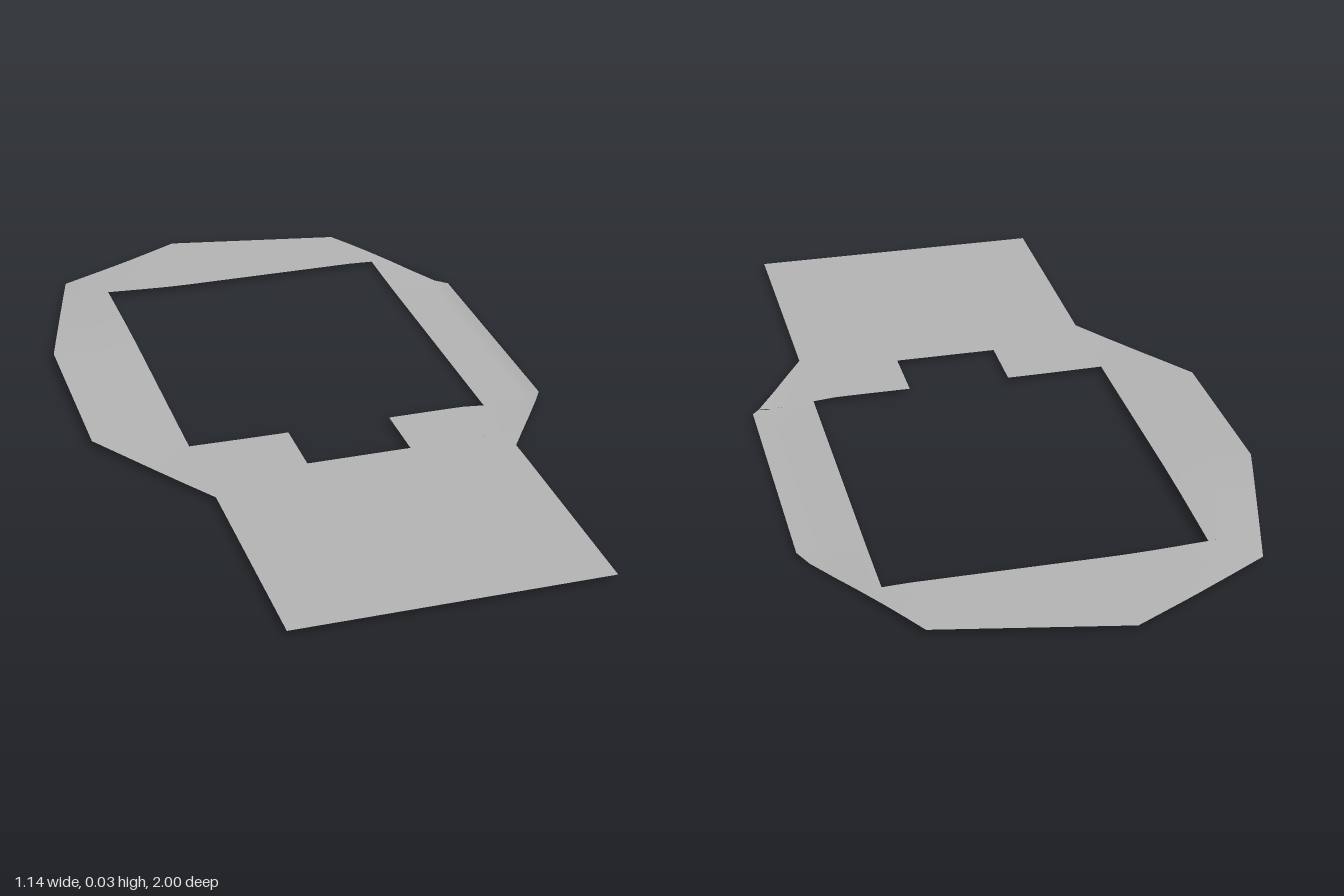
import * as THREE from 'three';

// Outer edges as [z, x] from back to front
const LEFT_EDGE = [[-1, -0.1], [-0.81, -0.45], [-0.38, -0.57], [0.08, -0.57], [0.42, -0.35], [1, -0.35]];
const RIGHT_EDGE = [[-1, -0.1], [-0.91, 0.35], [-0.53, 0.57], [0.14, 0.57], [0.39, 0.41], [1, 0.41]];

// Piecewise linear lookup
function sample(points, t) {
  if (t <= points[0][0]) return points[0][1];
  for (let i = 1; i < points.length; i++) {
    const [a, va] = points[i - 1], [b, vb] = points[i];
    if (t <= b) return va + (vb - va) * (t - a) / (b - a);
  }
  return points[points.length - 1][1];
}

// Gentle relief: the -x side rises, the +x side dips into a shallow ditch
const RISE = [[-0.95, 0], [-0.7, 0.7], [-0.5, 1], [-0.38, 1], [0.08, 0.25], [0.3, 0]];
const DIP = [[-0.85, 0], [-0.55, 1], [0.14, 1], [0.45, 0]];
const DITCH = [[0.35, 0], [0.49, 0.013], [0.54, 0.016], [0.57, 0.006]];
function height(x, z) {
  const up = 0.016 * THREE.MathUtils.smoothstep(-x, 0.12, 0.46) * sample(RISE, z);
  return 0.018 + up - sample(DITCH, x) * sample(DIP, z);
}

const left = z => sample(LEFT_EDGE, z);
const right = z => sample(RIGHT_EDGE, z);

// Sheet between z0 and z1, from x = a(z) to x = b(z)
function sheet(name, material, z0, z1, a, b, columns = 12) {
  const rows = [z0, z1];
  for (const [z] of [...LEFT_EDGE, ...RIGHT_EDGE]) if (z > z0 && z < z1) rows.push(z);
  const steps = Math.ceil((z1 - z0) / 0.08);
  for (let i = 1; i < steps; i++) rows.push(z0 + (z1 - z0) * i / steps);
  rows.sort((p, q) => p - q);

  const positions = [], index = [];
  rows.forEach((z, r) => {
    for (let c = 0; c <= columns; c++) {
      const x = THREE.MathUtils.lerp(a(z), b(z), c / columns);
      positions.push(x, height(x, z), z);
      if (r === 0 || c === 0) continue;
      const d = r * (columns + 1) + c, u = d - columns - 1;
      index.push(u - 1, d - 1, d, u - 1, d, u);
    }
  });
  const geometry = new THREE.BufferGeometry();
  geometry.setAttribute('position', new THREE.Float32BufferAttribute(positions, 3));
  geometry.setIndex(index);
  geometry.computeVertexNormals();
  const mesh = new THREE.Mesh(geometry, material);
  mesh.name = name;
  return mesh;
}

export function createModel() {
  const group = new THREE.Group();
  group.name = 'groundSheet';
  const grey = new THREE.MeshStandardMaterial({ color: 0xb4b4b4, side: THREE.DoubleSide });
  grey.name = 'paving grey';

  // Ring around the rectangular opening with its front notch
  group.add(
    sheet('backRim', grey, -1, -0.72, left, right, 24),
    sheet('rightRim', grey, -0.72, 0.17, left, () => -0.35),
    sheet('leftRim', grey, -0.72, 0.17, () => 0.41, right),
    sheet('rightNotchSide', grey, 0.17, 0.33, left, () => -0.1),
    sheet('leftNotchSide', grey, 0.17, 0.33, () => 0.16, right),
    // Flat approach in front
    sheet('frontApron', grey, 0.33, 1, left, right, 24),
  );
  return group;
}
